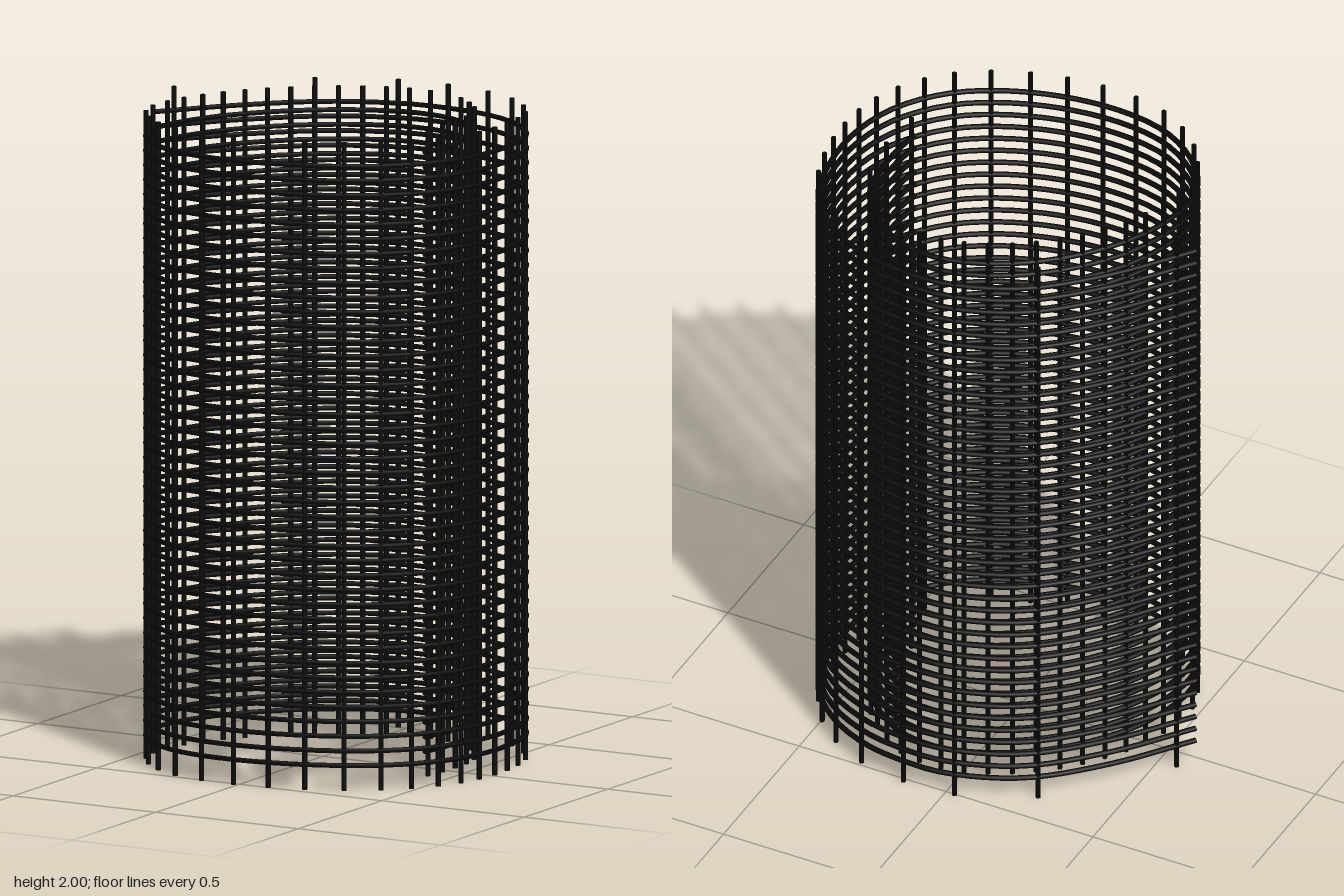
import * as THREE from 'three';

const UPRIGHT_RADIUS = 0.008;
const SPIRAL_RADIUS = 0.0093;
const HEIGHT = 2;
const ROWS = 42;

// Spiral plan of the roll as [x, z], from the loose outer end to the inner end
const PLAN = [
  [-0.6, -0.015], [-0.42, -0.245], [-0.22, -0.425], [0, -0.509], [0.14, -0.513],
  [0.28, -0.49], [0.43, -0.415], [0.545, -0.287], [0.59, -0.11], [0.588, 0.06],
  [0.535, 0.22], [0.41, 0.366], [0.2, 0.472], [-0.05, 0.511], [-0.25, 0.475],
  [-0.4, 0.365], [-0.465, 0.245], [-0.46, 0.11], [-0.4, -0.05], [-0.27, -0.22],
  [-0.1, -0.345], [0.08, -0.403], [0.23, -0.38], [0.36, -0.28], [0.422, -0.18],
  [0.437, 0], [0.425, 0.115],
];

// Distances between upright wires along the spiral: wide outside, then even
const GAPS = [
  0.064, 0.449, 0.255, 0.17, 0.16, 0.13, 0.112, 0.105, 0.093, 0.085, 0.08, 0.08,
  0.08, 0.085, 0.09, 0.095, 0.112, 0.12, 0.115, 0.115, 0.115, 0.11, 0.1, 0.095, 0.09,
  0.085, 0.08,
];
const INNER_GAP = 0.073;

export function createModel() {
  const model = new THREE.Group();
  model.name = 'wireMeshRoll';
  const material = new THREE.MeshStandardMaterial({ color: 0x080808, side: THREE.DoubleSide });

  const spiral = new THREE.CatmullRomCurve3(PLAN.map(([x, z]) => new THREE.Vector3(x, 0, z)));
  spiral.arcLengthDivisions = 600;
  const length = spiral.getLength();

  // Spiral wires stacked up the height, slightly flattened in section
  const spiralWires = new THREE.Group();
  spiralWires.name = 'spiralWires';
  const spiralGeometry = new THREE.TubeGeometry(spiral, 100, SPIRAL_RADIUS, 8);
  spiralGeometry.scale(1, 0.82, 1);
  for (let i = 0; i < ROWS; i++) {
    const wire = new THREE.Mesh(spiralGeometry, material);
    wire.name = 'spiralWire';
    wire.position.y = THREE.MathUtils.lerp(0.077, 1.926, i / (ROWS - 1));
    spiralWires.add(wire);
  }
  model.add(spiralWires);

  // Upright wires threaded along the spiral
  const uprightWires = new THREE.Group();
  uprightWires.name = 'uprightWires';
  const uprightGeometry = new THREE.CylinderGeometry(UPRIGHT_RADIUS, UPRIGHT_RADIUS, HEIGHT, 8);
  let distance = GAPS[0];
  for (let i = 1; distance < length - 0.01; i++) {
    const wire = new THREE.Mesh(uprightGeometry, material);
    wire.name = 'uprightWire';
    wire.position.copy(spiral.getPointAt(distance / length)).setY(HEIGHT / 2);
    uprightWires.add(wire);
    distance += GAPS[i] ?? INNER_GAP;
  }
  model.add(uprightWires);

  return model;
}
